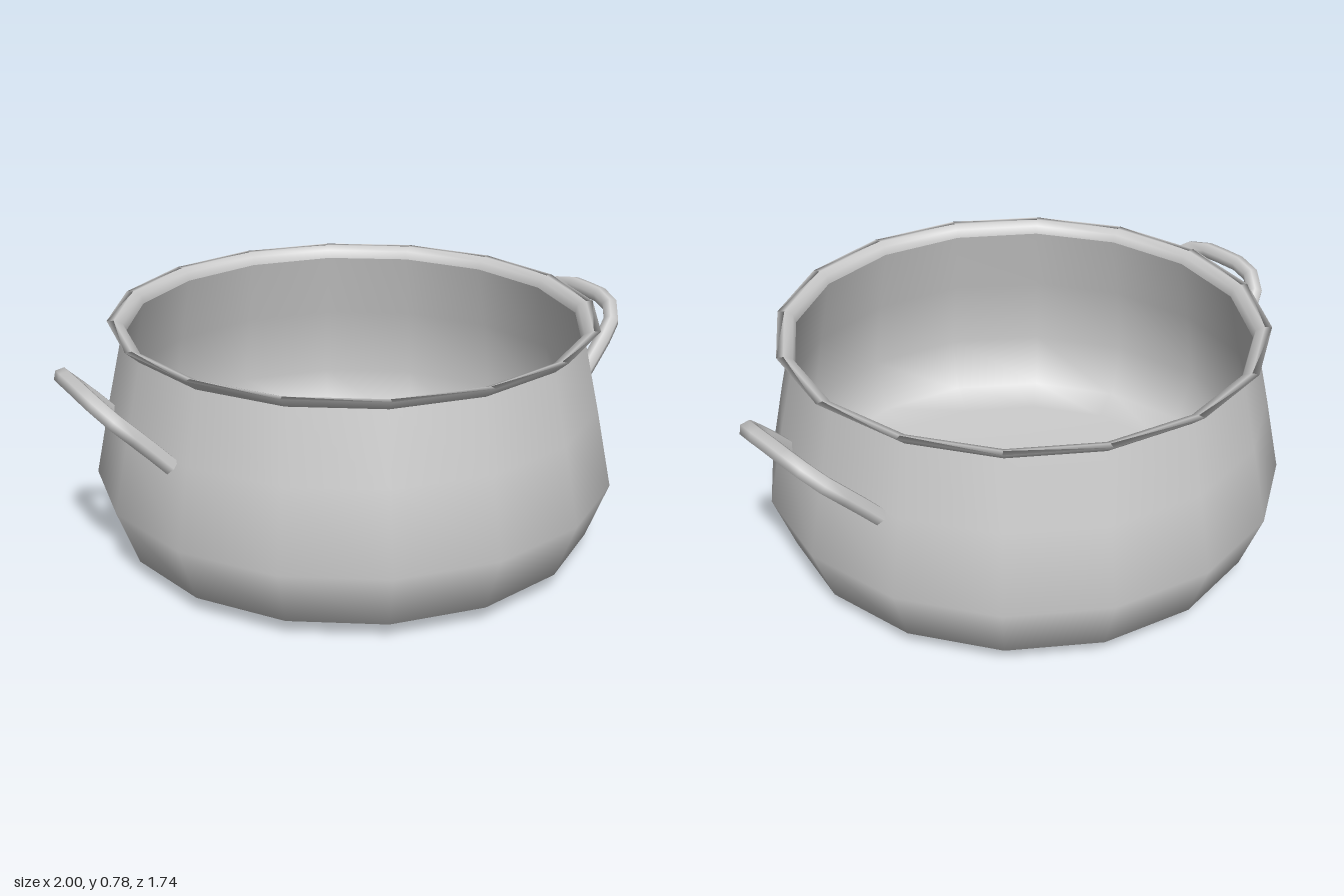
import * as THREE from 'three';

const SIDES = 16;
const v2 = (p) => new THREE.Vector2(p[0], p[1]);

export function createModel() {
  const model = new THREE.Group();
  model.name = 'cookingPot';
  const material = new THREE.MeshStandardMaterial({ color: 0xcccccc, side: THREE.DoubleSide });

  const addLathe = (name, points) => {
    const mesh = new THREE.Mesh(new THREE.LatheGeometry(points.map(v2), SIDES), material);
    mesh.name = name;
    model.add(mesh);
  };

  // Outer shell: base, bulging belly and tapering wall
  addLathe('outerShell', [[0, 0], [0.69, 0.005], [0.8, 0.06], [0.87, 0.25], [0.815, 0.51], [0.762, 0.74]]);

  // Flared lip around the opening
  addLathe('rim', [[0.762, 0.74], [0.808, 0.78], [0.785, 0.78], [0.757, 0.768], [0.75, 0.74]]);

  // Inner wall and floor
  addLathe('innerShell', [[0.75, 0.74], [0.8, 0.51], [0.85, 0.25], [0.785, 0.075], [0.68, 0.03], [0, 0.025]]);

  // Two loop handles that lean outward and up from the wall
  const half = [[0.775, 0.49, 0.245], [0.85, 0.57, 0.228], [0.925, 0.645, 0.2], [0.965, 0.69, 0.13]];
  const path = [...half, [0.972, 0.7, 0], ...half.map(([x, y, z]) => [x, y, -z]).reverse()];
  const curve = new THREE.CatmullRomCurve3(path.map((p) => new THREE.Vector3(...p)));
  const handleGeometry = new THREE.TubeGeometry(curve, 12, 0.029, 6);
  for (const side of ['left', 'right']) {
    const handle = new THREE.Mesh(handleGeometry, material);
    handle.name = side + 'Handle';
    if (side === 'right') handle.rotation.y = Math.PI;
    model.add(handle);
  }

  return model;
}
